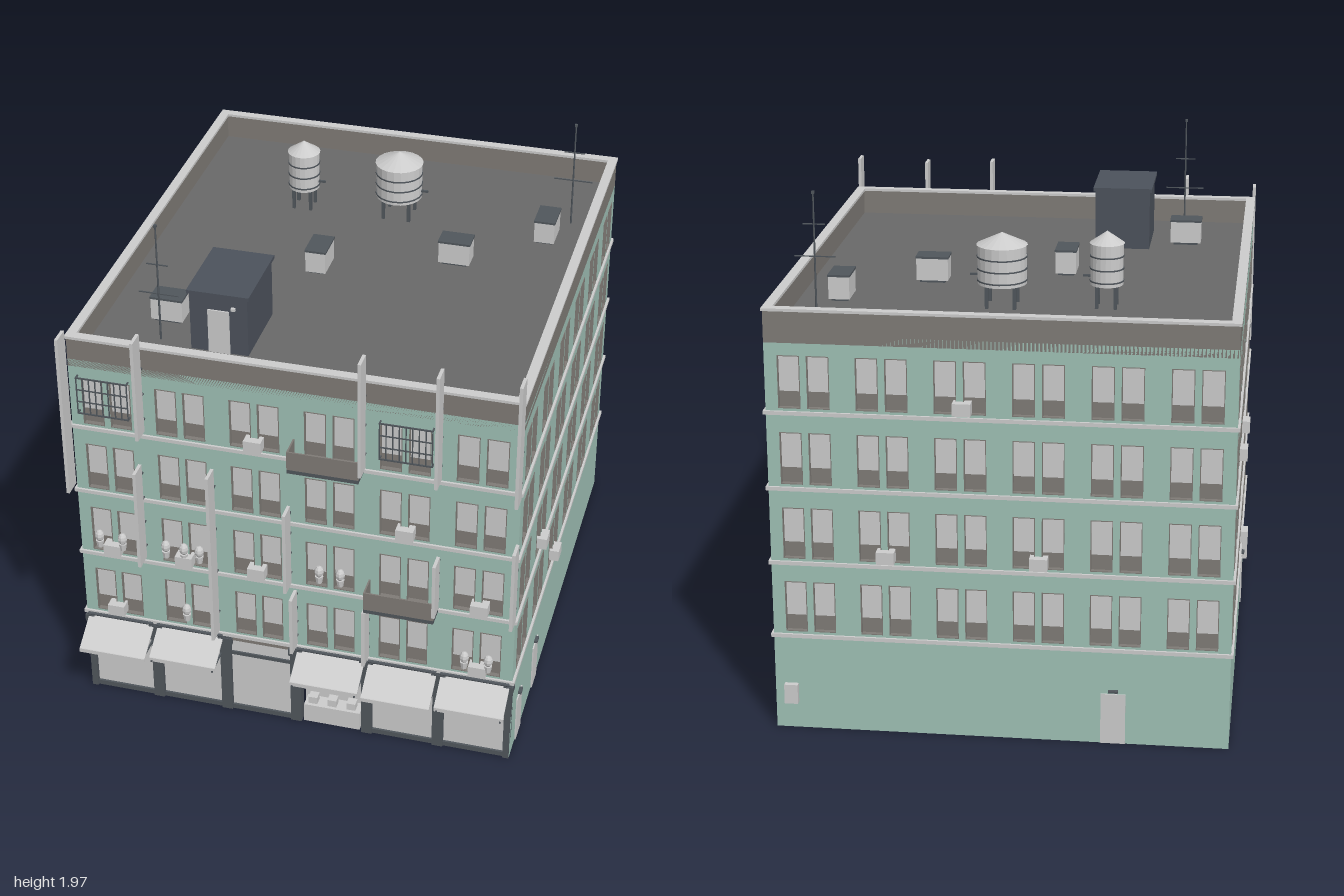
import * as THREE from 'three';
import { mergeGeometries } from 'three/addons/utils/BufferGeometryUtils.js';

const mat = (color, side = THREE.FrontSide) => new THREE.MeshStandardMaterial({ color, side, flatShading: true });
const GREY = mat(0xcccccc), TEAL = mat(0x9fc0b5, THREE.DoubleSide), BROWN = mat(0x7f7b76);
const DARK = mat(0x50565c), ROOF = mat(0x696969), SHED = mat(0x4c525c);

const box = (w, h, d, x, y, z) => new THREE.BoxGeometry(w, h, d).translate(x, y, z);
const cyl = (r1, r2, h, n, x, y, z) => new THREE.CylinderGeometry(r1, r2, h, n).translate(x, y, z);

// Merges a list of geometries into one named mesh
function add(parent, name, geos, material) {
  const mesh = new THREE.Mesh(mergeGeometries(geos.map(g => (g.index ? g.toNonIndexed() : g))), material);
  mesh.name = name;
  parent.add(mesh);
  return mesh;
}

function rectPath(P, x0, y0, x1, y1) {
  const p = new P();
  p.moveTo(x0, y0); p.lineTo(x1, y0); p.lineTo(x1, y1); p.lineTo(x0, y1); p.closePath();
  return p;
}

const X = 0.83, FRONT = 0.87, BACK = -0.97, MID = -0.05, TOP = 1.6, DECK = 1.5;
const FLOORS = [0.385, 0.67, 0.955, 1.24]; // sill heights
const WIN_W = 0.08, WIN_H = 0.195, GLASS_H = 0.135;

// One facade in local space: u across, y up, +z outward
function facade(name, width, bottom, { acs = [], doors = [], vents = [] }) {
  const g = new THREE.Group();
  g.name = name;
  const shape = rectPath(THREE.Shape, -width / 2, bottom, width / 2, TOP - 0.09);
  const frames = [], glass = [], ledges = [];
  for (const y of FLOORS) {
    ledges.push(box(width + 0.016, 0.014, 0.012, 0, y - 0.017, 0.003));
    for (let i = 0; i < 6; i++) for (const s of [-1, 1]) {
      const u = (i - 2.5) * width / 6 + s * 0.052, x0 = u - WIN_W / 2, x1 = u + WIN_W / 2;
      shape.holes.push(rectPath(THREE.Path, x0, y, x1, y + WIN_H));
      const ring = rectPath(THREE.Shape, x0, y, x1, y + WIN_H);
      ring.holes.push(rectPath(THREE.Path, x0 + 0.003, y + 0.003, x1 - 0.003, y + WIN_H - 0.003));
      frames.push(new THREE.ExtrudeGeometry(ring, { depth: 0.026, bevelEnabled: false }).translate(0, 0, -0.024));
      frames.push(box(WIN_W, WIN_H - GLASS_H, 0.006, u, y + (WIN_H - GLASS_H) / 2, -0.018));
      glass.push(box(WIN_W - 0.006, GLASS_H, 0.006, u, y + WIN_H - GLASS_H / 2, -0.016));
    }
  }
  add(g, 'wall', [new THREE.ShapeGeometry(shape)], TEAL);
  add(g, 'windowFrames', frames, BROWN);
  add(g, 'windowPanes', glass, GREY);
  add(g, 'floorLedges', ledges, GREY);
  add(g, 'parapet', [box(width, TOP - DECK + 0.02, 0.026, 0, (TOP + DECK - 0.02) / 2, -0.013)], BROWN);
  add(g, 'coping', [box(width + 0.01, 0.01, 0.036, 0, TOP, -0.013)], GREY);
  if (acs.length) add(g, 'airConditioners', acs.map(([u, y]) => box(0.065, 0.046, 0.045, u, y, 0.0075)), GREY);
  for (const u of doors) {
    add(g, 'sideDoor', [box(0.09, 0.195, 0.01, u, 0.0985, 0)], GREY);
    add(g, 'doorLamp', [box(0.035, 0.008, 0.015, u, 0.208, 0.006)], DARK);
  }
  for (const [u, y] of vents) add(g, 'wallVent', [box(0.05, 0.075, 0.035, u, y, 0.004)], GREY);
  return g;
}

// Ground floor: six bays between dark pillars
function shopfront() {
  const g = new THREE.Group();
  g.name = 'shopfront';
  const dark = [], panels = [], bay = 2 * X / 6;
  for (let i = 0; i <= 6; i++) {
    const x = THREE.MathUtils.clamp(-X + i * bay, -X + 0.012, X - 0.012), w = i % 6 ? 0.042 : 0.024;
    dark.push(box(w, 0.355, 0.035, x, 0.1775, FRONT - 0.012), box(w + 0.012, 0.03, 0.04, x, 0.335, FRONT - 0.01));
  }
  for (let i = 0; i < 6; i++) {
    const x = -X + (i + 0.5) * bay, w = bay - 0.036;
    const z = i === 3 ? FRONT - 0.07 : FRONT - 0.015; // the stall bay is set back
    panels.push(box(w, 0.25, 0.008, x, 0.145, z), box(w, 0.07, 0.008, x, 0.315, FRONT - 0.015));
    dark.push(box(w, 0.014, 0.02, x, 0.275, FRONT - 0.014));
    if (i !== 3) dark.push(box(w, 0.02, 0.02, x, 0.01, FRONT - 0.012));
    if (i === 2) continue;
    // sloping awning with two arms and a roller
    const depth = 0.145 - (i % 2) * 0.012, a = 0.55, aw = bay - 0.016;
    const slab = box(aw, 0.006, depth, 0, 0, depth / 2).rotateX(a).translate(x, 0.348, FRONT);
    const lip = box(aw, 0.016, 0.004, x, 0.345 - Math.sin(a) * depth, FRONT + Math.cos(a) * depth);
    add(g, 'awning', [slab, lip], GREY);
    const arms = [-1, 1].map(s => box(0.006, 0.006, 0.12, x + s * (aw / 2 - 0.01), 0.27, FRONT + 0.06));
    arms.push(cyl(0.007, 0.007, aw, 8, 0, 0, 0).rotateZ(Math.PI / 2).translate(x, 0.362, FRONT + 0.01));
    add(g, 'awningArms', arms, DARK);
  }
  add(g, 'pillars', dark, DARK);
  add(g, 'shopPanels', panels, GREY);
  add(g, 'fascia', [box(2 * X, 0.03, 0.016, 0, 0.353, FRONT - 0.01)], BROWN);
  // stall counter, goods and hanging lanterns
  const stall = [box(0.22, 0.08, 0.06, 0.138, 0.04, FRONT - 0.035)];
  for (const x of [0.06, 0.135, 0.21]) {
    stall.push(box(0.035, 0.03, 0.035, x, 0.095, FRONT - 0.035));
    stall.push(box(0.022, 0.032, 0.022, x, 0.235, FRONT + 0.045), cyl(0.002, 0.002, 0.07, 6, x, 0.283, FRONT + 0.045));
  }
  add(g, 'marketStall', stall, GREY);
  return g;
}

// Blade signs, balconies, grilles and flower pots on the front
function frontFittings() {
  const g = new THREE.Group();
  g.name = 'frontFittings';
  const blades = [[-0.83, 0.98, 1.64], [-0.55, 1.26, 1.67], [0.27, 1.25, 1.72], [0.545, 1.25, 1.71], [0.83, 1.22, 1.72],
    [-0.57, 0.69, 1.11], [-0.295, 0.4, 1.14], [-0.01, 0.68, 1.03], [0.01, 0.4, 0.65], [0.545, 0.68, 0.91],
    [0.83, 0.68, 1.02], [0.285, 0.4, 0.65]];
  const signs = [], brackets = [];
  for (const [x, y0, y1] of blades) {
    signs.push(box(0.012, y1 - y0, 0.068, x, (y0 + y1) / 2, FRONT + 0.056));
    for (let k = 0; k < 4; k++) {
      const y = y0 + (y1 - y0) * (0.1 + 0.26 * k);
      if (y < TOP) brackets.push(box(0.006, 0.006, 0.035, x, y, FRONT + 0.012));
    }
  }
  add(g, 'bladeSigns', signs, GREY);
  add(g, 'signBrackets', brackets, DARK);
  for (const [x, y] of [[0.135, 1.22], [0.415, 0.65]]) {
    const d = 0.085, w = 0.262;
    add(g, 'balconyFloor', [box(w, 0.015, d, x, y + 0.007, FRONT + d / 2)], DARK);
    add(g, 'balconyRail', [box(w, 0.075, 0.006, x, y + 0.052, FRONT + d - 0.003),
      ...[-1, 1].map(s => box(0.006, 0.075, d, x + s * (w / 2 - 0.003), y + 0.052, FRONT + d / 2))], BROWN);
  }
  for (const x of [-0.7, 0.42]) {
    const bars = [], z = FRONT + 0.02, y = 1.37;
    for (const s of [-1, 1]) {
      bars.push(box(0.195, 0.005, 0.005, x, y + s * 0.075, z), box(0.195, 0.004, 0.004, x, y + s * 0.025, z));
      for (const t of [-1, 1]) bars.push(box(0.005, 0.005, 0.022, x + s * 0.095, y + t * 0.075, z - 0.01));
    }
    for (let k = 0; k < 9; k++) bars.push(box(0.004, 0.15, 0.004, x + (k - 4) * 0.0238, y, z));
    add(g, 'windowGrille', bars, DARK);
  }
  const pots = [], plants = [];
  for (const [x, y] of [[-0.75, 0.69], [-0.66, 0.69], [-0.49, 0.69], [-0.42, 0.69], [-0.36, 0.69], [0.1, 0.69], [0.18, 0.69],
    [-0.42, 0.405], [0.65, 0.405], [0.74, 0.405]]) {
    pots.push(cyl(0.016, 0.011, 0.03, 8, x, y + 0.025, FRONT + 0.016));
    plants.push(new THREE.SphereGeometry(0.02, 8, 6).scale(0.9, 1.2, 0.9).translate(x, y + 0.06, FRONT + 0.016));
  }
  add(g, 'flowerPots', pots, GREY);
  add(g, 'plants', plants, GREY);
  return g;
}

function waterTank(x, z, r, apex) {
  const g = new THREE.Group();
  g.name = 'waterTank';
  const y0 = DECK + 0.085, y1 = apex - 0.045;
  const body = [cyl(r, r, y1 - y0, 20, x, (y0 + y1) / 2, z), cyl(0, r + 0.004, apex - y1, 20, x, (apex + y1) / 2, z)];
  const trim = [0.1, 0.4, 0.7].map(t => cyl(r + 0.003, r + 0.003, 0.005, 20, x, y0 + t * (y1 - y0), z));
  for (let i = 0; i < 4; i++) {
    const a = Math.PI * (i + 0.5) / 2;
    trim.push(box(0.012, 0.09, 0.012, x + Math.cos(a) * r * 0.8, DECK + 0.043, z + Math.sin(a) * r * 0.8));
  }
  trim.push(box(0.03, 0.008, 0.008, x + r + 0.012, y0 + 0.03, z));
  add(g, 'tankBody', body, GREY);
  add(g, 'tankHoopsAndLegs', trim, DARK);
  return g;
}

function rooftop() {
  const g = new THREE.Group();
  g.name = 'rooftop';
  add(g, 'roofDeck', [box(2 * X - 0.03, 0.01, FRONT - BACK - 0.03, 0, DECK - 0.005, MID)], ROOF);
  // stair shed
  add(g, 'stairShed', [box(0.215, 0.235, 0.3, -0.322, DECK + 0.1175, 0.525)], SHED);
  add(g, 'shedRoof', [box(0.232, 0.014, 0.316, -0.322, 1.739, 0.525)], SHED);
  add(g, 'shedDoor', [box(0.08, 0.175, 0.008, -0.322, DECK + 0.0875, 0.677), box(0.016, 0.01, 0.015, -0.265, 1.69, 0.68)], GREY);
  g.add(waterTank(0.05, -0.48, 0.09, 1.775), waterTank(-0.33, -0.455, 0.06, 1.785));
  // ventilation units
  for (const [x, z, w, d] of [[-0.57, 0.495, 0.12, 0.08], [-0.14, 0, 0.078, 0.125], [0.35, -0.175, 0.12, 0.08], [0.65, -0.445, 0.078, 0.125]]) {
    add(g, 'ventUnit', [box(w, 0.085, d, x, DECK + 0.052, z)], GREY);
    add(g, 'ventUnitTrim', [box(w + 0.005, 0.008, d + 0.005, x, DECK + 0.098, z), box(w * 0.8, 0.012, d * 0.8, x, DECK + 0.005, z)], DARK);
  }
  // antennas
  for (const [x, z, top] of [[-0.555, 0.645, 1.97], [0.72, -0.58, 1.93]]) {
    add(g, 'antenna', [cyl(0.003, 0.004, top - DECK, 6, x, (top + DECK) / 2, z), box(0.01, 0.01, 0.01, x, top - 0.003, z),
      box(0.15, 0.004, 0.004, x, 1.69, z), box(0.08, 0.004, 0.004, x, 1.81, z)], DARK);
  }
  return g;
}

export function createModel() {
  const model = new THREE.Group();
  model.name = 'apartmentBuilding';
  const depth = FRONT - BACK;
  const place = (f, x, z, turn) => { f.position.set(x, 0, z); f.rotation.y = turn; model.add(f); };
  place(facade('frontFacade', 2 * X, 0.36, { acs: [[-0.14, 1.265], [0.42, 0.98], [-0.7, 0.695], [-0.42, 0.695],
    [-0.14, 0.695], [0.7, 0.695], [0.7, 0.41], [-0.7, 0.41]] }), 0, FRONT, 0);
  place(facade('leftFacade', depth, 0, { acs: [[-0.46, 0.695], [-0.15, 0.41]], doors: [-0.77, -0.46] }), X, MID, Math.PI / 2);
  place(facade('backFacade', 2 * X, 0, { acs: [[-0.13, 1.265], [-0.41, 0.695], [0.14, 0.695]], doors: [0.41],
    vents: [[-0.77, 0.14]] }), 0, BACK, Math.PI);
  place(facade('rightFacade', depth, 0, { acs: [[-0.47, 0.98], [-0.16, 0.98], [0.15, 0.41]], doors: [0.46],
    vents: [[0.67, 0.14]] }), -X, MID, -Math.PI / 2);
  model.add(shopfront(), frontFittings(), rooftop());
  return model;
}
